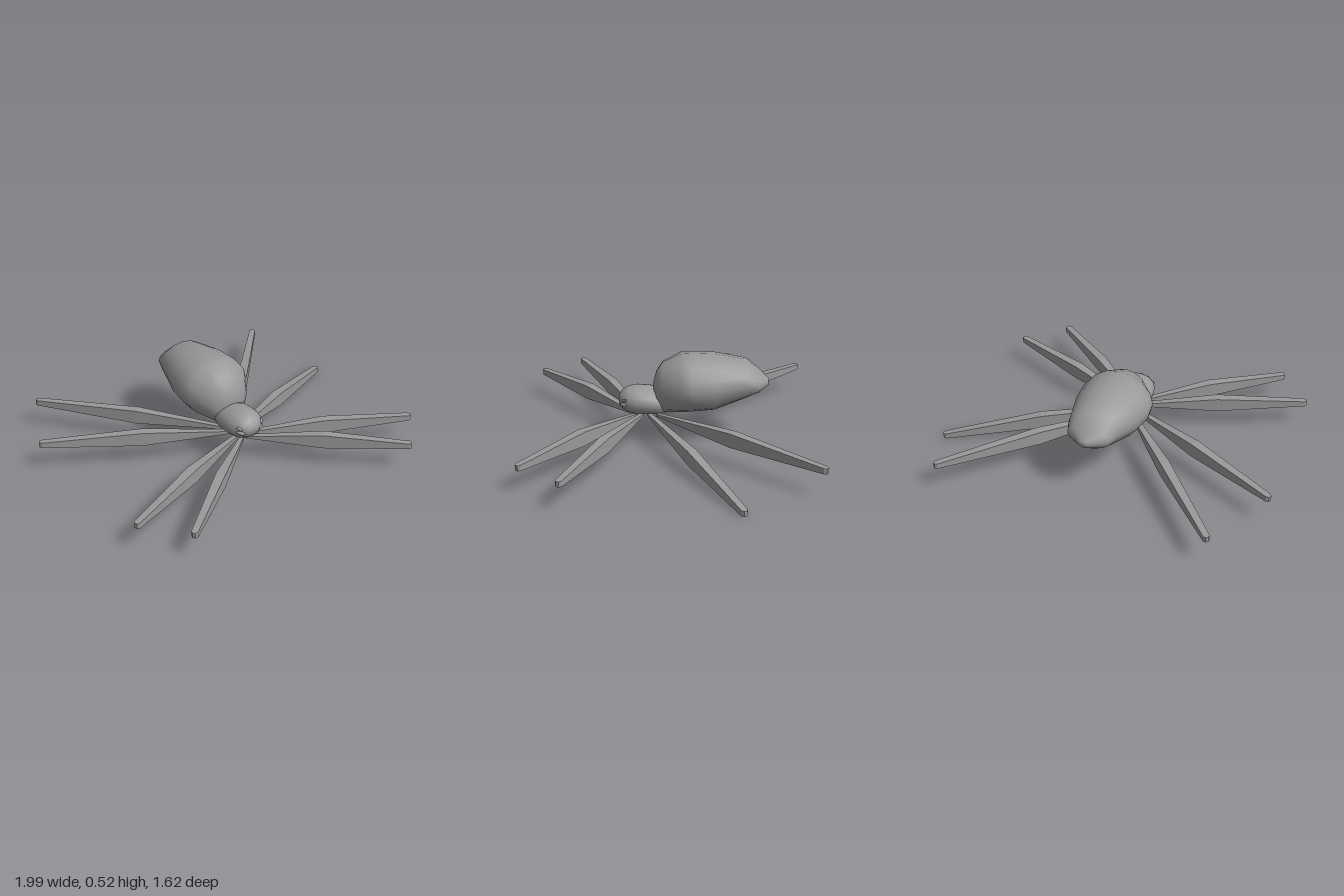
import * as THREE from 'three';

const grey = new THREE.MeshStandardMaterial({ color: 0x999999 });
grey.name = 'grey';

// Skin a row of rings (each counter-clockwise about the direction of travel) and cap both ends
function loft(rings, flat) {
  const n = rings[0].length, last = rings.length - 1;
  const points = rings.flat(), index = [];
  for (let i = 0; i < last; i++) {
    for (let j = 0; j < n; j++) {
      const k = (j + 1) % n;
      const a = i * n + j, b = i * n + k, c = a + n, d = b + n;
      index.push(a, b, d, a, d, c);
    }
  }
  const centre = (ring) => ring.reduce((s, p) => s.add(p), new THREE.Vector3()).divideScalar(n);
  const start = points.push(centre(rings[0])) - 1;
  const end = points.push(centre(rings[last])) - 1;
  for (let j = 0; j < n; j++) {
    const k = (j + 1) % n;
    index.push(start, k, j, end, last * n + j, last * n + k);
  }
  let geo = new THREE.BufferGeometry().setFromPoints(points);
  geo.setIndex(index);
  if (flat) geo = geo.toNonIndexed();
  geo.computeVertexNormals();
  return geo;
}

// Body sections from back to front: [z, bottom, top, half width]
function bodyGeometry(sections, sides) {
  return loft(sections.map(([z, bottom, top, w]) =>
    Array.from({ length: sides }, (_, j) => {
      const t = (j / sides) * Math.PI * 2;
      return new THREE.Vector3(Math.cos(t) * w, (top + bottom) / 2 + Math.sin(t) * (top - bottom) / 2, z);
    })), false);
}

// Four-sided leg, thick in the middle, with a chamfered tip
function legGeometry(root, mid, tip) {
  const up = new THREE.Vector3(0, 1, 0);
  const along = tip.clone().sub(root).setY(0).normalize();
  const side = up.clone().cross(along);
  const inner = tip.clone().addScaledVector(along, -0.014);
  const stations = [[root, 0.012, 0.006], [mid, 0.027, 0.041], [inner, 0.018, 0.016], [tip, 0.009, 0.015]];
  return loft(stations.map(([p, w, h]) =>
    [[1, -1], [1, 1], [-1, 1], [-1, -1]].map(([s, u]) =>
      p.clone().addScaledVector(side, s * w).addScaledVector(up, u * h))), true);
}

export function createModel() {
  const model = new THREE.Group();
  model.name = 'spider';
  const add = (name, geo) => {
    const mesh = new THREE.Mesh(geo, grey);
    mesh.name = name;
    model.add(mesh);
    return mesh;
  };

  // Abdomen
  add('abdomen', bodyGeometry([
    [-0.558, 0.335, 0.375, 0.025],
    [-0.5, 0.3, 0.43, 0.122],
    [-0.43, 0.268, 0.488, 0.148],
    [-0.25, 0.198, 0.52, 0.195],
    [-0.12, 0.188, 0.522, 0.21],
    [-0.06, 0.183, 0.52, 0.2],
    [0.045, 0.175, 0.47, 0.13],
    [0.08, 0.21, 0.415, 0.085],
    [0.095, 0.27, 0.36, 0.035],
  ], 16));

  // Head
  add('head', bodyGeometry([
    [0.02, 0.18, 0.29, 0.08],
    [0.06, 0.165, 0.31, 0.1],
    [0.11, 0.163, 0.325, 0.112],
    [0.19, 0.165, 0.332, 0.11],
    [0.24, 0.175, 0.325, 0.096],
    [0.275, 0.196, 0.303, 0.068],
    [0.295, 0.225, 0.27, 0.03],
  ], 14));

  // Eyes with slanted brows
  for (const s of [-1, 1]) {
    const eye = add(s > 0 ? 'leftEye' : 'rightEye', new THREE.SphereGeometry(1, 10, 6));
    eye.scale.set(0.027, 0.014, 0.014);
    eye.position.set(s * 0.066, 0.238, 0.267);
    eye.rotation.set(0, s * 0.65, s * 0.15);
    const brow = add(s > 0 ? 'leftBrow' : 'rightBrow', new THREE.SphereGeometry(1, 8, 6));
    brow.scale.set(0.024, 0.008, 0.012);
    brow.position.set(s * 0.07, 0.264, 0.262);
    brow.rotation.set(0, s * 0.65, s * 0.35);
  }

  // Legs: [name, root z, tip x, tip z, tip y]
  const legs = [
    ['FrontLeg', 0.205, 0.73, 0.8, 0.15],
    ['SecondLeg', 0.165, 0.93, 0.57, 0.153],
    ['ThirdLeg', 0.12, 0.99, -0.378, 0.16],
    ['BackLeg', 0.075, 0.79, -0.808, 0.16],
  ];
  for (const s of [-1, 1]) {
    for (const [name, rootZ, x, z, y] of legs) {
      // The left third leg hangs down to the ground
      const drooping = s > 0 && name === 'ThirdLeg';
      const root = new THREE.Vector3(s * 0.015, 0.155, rootZ);
      const tip = new THREE.Vector3(s * x, drooping ? 0.018 : y, z);
      const mid = root.clone().lerp(tip, 0.47).setY(drooping ? 0.095 : 0.158);
      add((s > 0 ? 'left' : 'right') + name, legGeometry(root, mid, tip));
    }
  }
  return model;
}
